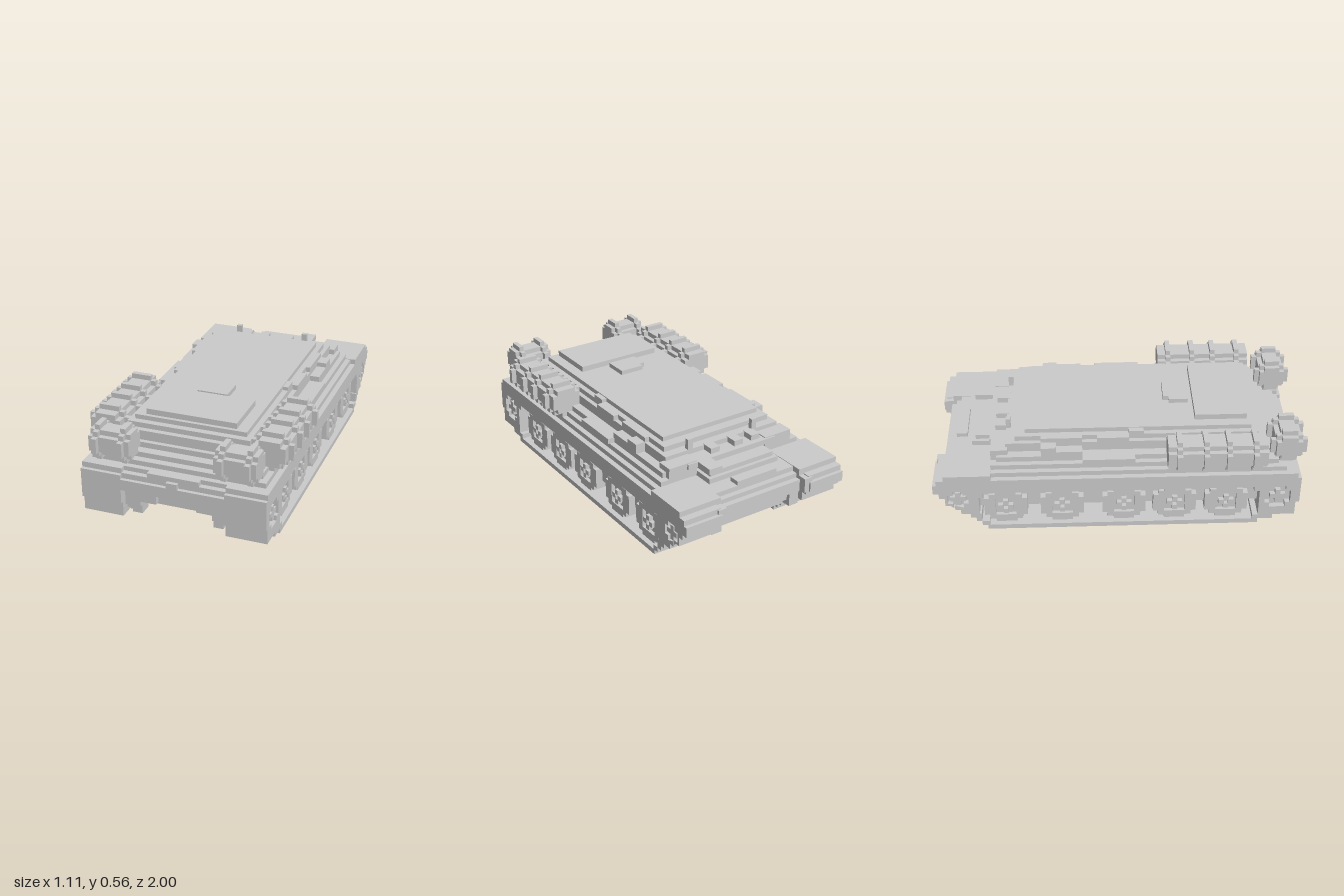
import * as THREE from 'three';

const V = 1 / 36; // one block of the stepped style
const mat = new THREE.MeshStandardMaterial({ color: 0xcccccc, flatShading: true });

function addMesh(parent, name, geo) {
  const m = new THREE.Mesh(geo, mat);
  m.name = name;
  parent.add(m);
  return m;
}

// Box from its bounds
function box(parent, name, x0, x1, y0, y1, z0, z1) {
  const g = new THREE.BoxGeometry(x1 - x0, y1 - y0, z1 - z0);
  g.translate((x0 + x1) / 2, (y0 + y1) / 2, (z0 + z1) / 2);
  return addMesh(parent, name, g);
}

// Staircase outline: rows of [top, low, high], stacked upward from the base
function outline(base, rows) {
  const right = [], left = [];
  let b = base;
  for (const [top, lo, hi] of rows) {
    right.push(new THREE.Vector2(hi, b), new THREE.Vector2(hi, top));
    left.push(new THREE.Vector2(lo, b), new THREE.Vector2(lo, top));
    b = top;
  }
  return right.concat(left.reverse());
}

// Stepped disc from the half width of each one-block row
function disc(cx, cy, halfWidths) {
  const base = cy - halfWidths.length / 2 * V;
  return outline(base, halfWidths.map((w, i) => [base + (i + 1) * V, cx - w * V, cx + w * V]));
}

// Extrude a (z, y) outline along x, or an (x, y) outline along z
function prism(parent, name, pts, a, b, axis = 'x', holes = []) {
  const shape = new THREE.Shape(pts);
  holes.forEach(h => shape.holes.push(new THREE.Path(h)));
  const g = new THREE.ExtrudeGeometry(shape, { depth: b - a, bevelEnabled: false });
  if (axis === 'x') g.rotateY(-Math.PI / 2).translate(b, 0, 0);
  else g.translate(0, 0, a);
  return addMesh(parent, name, g);
}

const WHEEL = [2, 3.2, 4.2, 4.2, 4.2, 4.2, 3.2, 2];
const SPROCKET = [1.5, 2.5, 2.5, 2.5, 1.5];
const IDLER = [1, 2, 2, 1];

// Everything that sits on one side; s = -1 mirrors the ranges
function buildSide(s) {
  const side = new THREE.Group();
  side.name = s > 0 ? 'leftSide' : 'rightSide';
  const px = (name, pts, a, b, holes) => prism(side, name, pts, s > 0 ? a : -b, s > 0 ? b : -a, 'x', holes);
  const bx = (name, a, b, ...r) => box(side, name, s > 0 ? a : -b, s > 0 ? b : -a, ...r);

  // Track loop with an open wheel bay
  px('track', outline(0, [
    [0.028, -0.72, 0.75], [0.056, -0.75, 0.83], [0.083, -0.78, 0.95], [0.11, -0.81, 0.95],
    [0.14, -0.86, 0.95], [0.17, -0.89, 0.97], [0.22, -0.94, 0.97], [0.25, -0.97, 0.97],
    [0.305, -1, 0.97], [0.335, -0.98, 0.95]]), 0.28, 0.5,
  [outline(0.028, [[0.056, -0.71, 0.72], [0.11, -0.75, 0.75], [0.22, -0.76, 0.75], [0.25, -0.74, 0.72]]),
    disc(0.85, 0.18, SPROCKET), disc(-0.87, 0.21, IDLER)]);
  bx('wheelBayPanel', 0.28, 0.43, 0.11, 0.25, -0.76, 0.75);

  // End wheels with a raised cross
  for (const [z, y, rows] of [[0.85, 0.18, SPROCKET], [-0.87, 0.21, IDLER]]) {
    px('endWheel', disc(z, y, rows), 0.28, 0.47);
    bx('endWheelSpoke', 0.47, 0.495, y - V * 1.5, y + V * 1.5, z - V / 2, z + V / 2);
    bx('endWheelSpoke', 0.47, 0.495, y - V / 2, y + V / 2, z - V * 1.5, z + V * 1.5);
  }

  // Road wheels with a hollow hub and inner axle
  for (const z of [0.575, 0.295, 0.02, -0.315, -0.62]) {
    px('wheel', disc(z, 0.13, WHEEL), 0.28, 0.47, [disc(z, 0.13, [2, 2, 2, 2])]);
    px('wheelDish', disc(z, 0.13, [2, 2, 2, 2]), 0.28, 0.45);
    px('wheelHub', disc(z, 0.13, [0.5, 1.5, 0.5]), 0.45, 0.475, [disc(z, 0.13, [0.4])]);
    bx('wheelAxle', 0.25, 0.28, 0.083, 0.14, z - V / 2, z + V / 2);
  }
  bx('frontDrive', 0.195, 0.28, 0.11, 0.22, 0.8, 0.92);
  bx('frontDriveBase', 0.195, 0.28, 0.083, 0.11, 0.83, 0.9);
  bx('frontDriveFoot', 0.195, 0.25, 0.06, 0.083, 0.83, 0.9);
  bx('rearDrive', 0.22, 0.28, 0.14, 0.25, -0.91, -0.83);

  // Fender and flat rear fender box
  bx('fender', 0.25, 0.47, 0.33, 0.362, -0.94, 0.89);
  bx('rearFender', 0.25, 0.5, 0.33, 0.365, -0.94, -0.69);
  bx('rearFenderEnd', 0.25, 0.3, 0.25, 0.33, -0.99, -0.9);

  // Long side drum with ribs
  const cx = s * 0.445;
  prism(side, 'sideDrum', disc(cx, 0.46, [2, 3, 3, 3, 2]), 0.25, 0.775, 'z');
  for (const z of [0.31, 0.45, 0.57, 0.71])
    prism(side, 'sideDrumRib', disc(cx, 0.46, [2, 3, 4, 4, 4, 3, 2]), z - V / 2, z + V / 2, 'z');
  bx('drumBracket', 0.36, 0.47, 0.36, 0.4, 0.26, 0.76);

  // Crosswise front drum with ribs
  px('frontDrum', disc(0.9, 0.46, [1.5, 2.5, 2.5, 2.5, 1.5]), 0.225, 0.445);
  for (const x of [0.265, 0.405])
    px('frontDrumRib', disc(0.9, 0.46, [1.5, 2.5, 3.5, 3.5, 3.5, 2.5, 1.5]), x - V / 2, x + V / 2);

  // Small fittings along the upper side
  bx('sideFitting', 0.33, 0.415, 0.42, 0.475, -0.42, -0.34);
  bx('sideFitting', 0.36, 0.415, 0.42, 0.45, -0.34, -0.2);
  bx('sideFitting', 0.33, 0.36, 0.47, 0.5, -0.42, -0.2);
  bx('sideFitting', 0.3, 0.335, 0.5, 0.52, 0.05, 0.13);
  bx('sideFitting', 0.33, 0.365, 0.47, 0.5, -0.12, 0.05);
  bx('sideRail', 0.41, 0.45, 0.39, 0.42, -0.2, 0.08);
  bx('rearPost', 0.19, 0.22, 0.47, 0.53, -0.61, -0.585);
  bx('rearCorner', 0.22, 0.39, 0.39, 0.45, -0.69, -0.6);
  return side;
}

export function createModel() {
  const model = new THREE.Group();
  model.name = 'trackedVehicle';

  // Lower hull between the tracks, stepped at nose and tail
  prism(model, 'lowerHull', outline(0.11, [
    [0.14, -0.83, 0.86], [0.17, -0.86, 0.89], [0.22, -0.89, 0.89], [0.25, -0.92, 0.97],
    [0.28, -0.95, 0.97], [0.31, -0.95, 0.95], [0.335, -0.92, 0.92], [0.362, -0.89, 0.89]]), -0.28, 0.28);
  box(model, 'nosePlate', -0.5, 0.5, 0.22, 0.28, 0.9, 0.97);
  for (const x of [-0.152, 0.152]) box(model, 'noseRib', x - 0.043, x + 0.043, 0.14, 0.22, 0.88, 0.92);
  box(model, 'noseBlock', -0.14, 0.14, 0.31, 0.335, 0.88, 0.95);
  box(model, 'noseHook', -0.03, 0.03, 0.28, 0.31, 0.93, 0.97);

  // Upper hull as a stack of shrinking tiers: half width, bottom, top, rear, front
  for (const [w, y0, y1, z0, z1] of [
    [0.44, 0.355, 0.39, -0.69, 0.85], [0.41, 0.39, 0.42, -0.66, 0.8], [0.36, 0.42, 0.472, -0.61, 0.775],
    [0.335, 0.472, 0.5, -0.56, 0.745], [0.305, 0.5, 0.525, -0.505, 0.71]])
    box(model, 'upperHullTier', -w, w, y0, y1, z0, z1);

  // Roof plate and hatch
  box(model, 'roofPlate', -0.25, 0.245, 0.525, 0.556, 0.41, 0.69);
  box(model, 'roofHatch', -0.06, 0.08, 0.525, 0.55, 0.25, 0.385);
  box(model, 'roofHatchEdge', -0.09, -0.06, 0.525, 0.55, 0.28, 0.385);

  // Stepped rear deck with uneven fittings
  box(model, 'rearDeck', -0.22, 0.22, 0.36, 0.39, -0.8, -0.6);
  box(model, 'rearDeck', -0.2, 0.2, 0.39, 0.415, -0.78, -0.6);
  box(model, 'rearDeck', -0.28, 0.28, 0.415, 0.445, -0.7, -0.6);
  box(model, 'rearFitting', -0.14, 0.11, 0.36, 0.385, -0.89, -0.83);
  box(model, 'rearFitting', 0.14, 0.22, 0.415, 0.445, -0.8, -0.69);
  for (const x of [-0.17, -0.06, 0.09])
    box(model, 'rearBracket', x - V, x + V, 0.44, 0.475, -0.67, -0.6);

  model.add(buildSide(1), buildSide(-1));
  return model;
}
